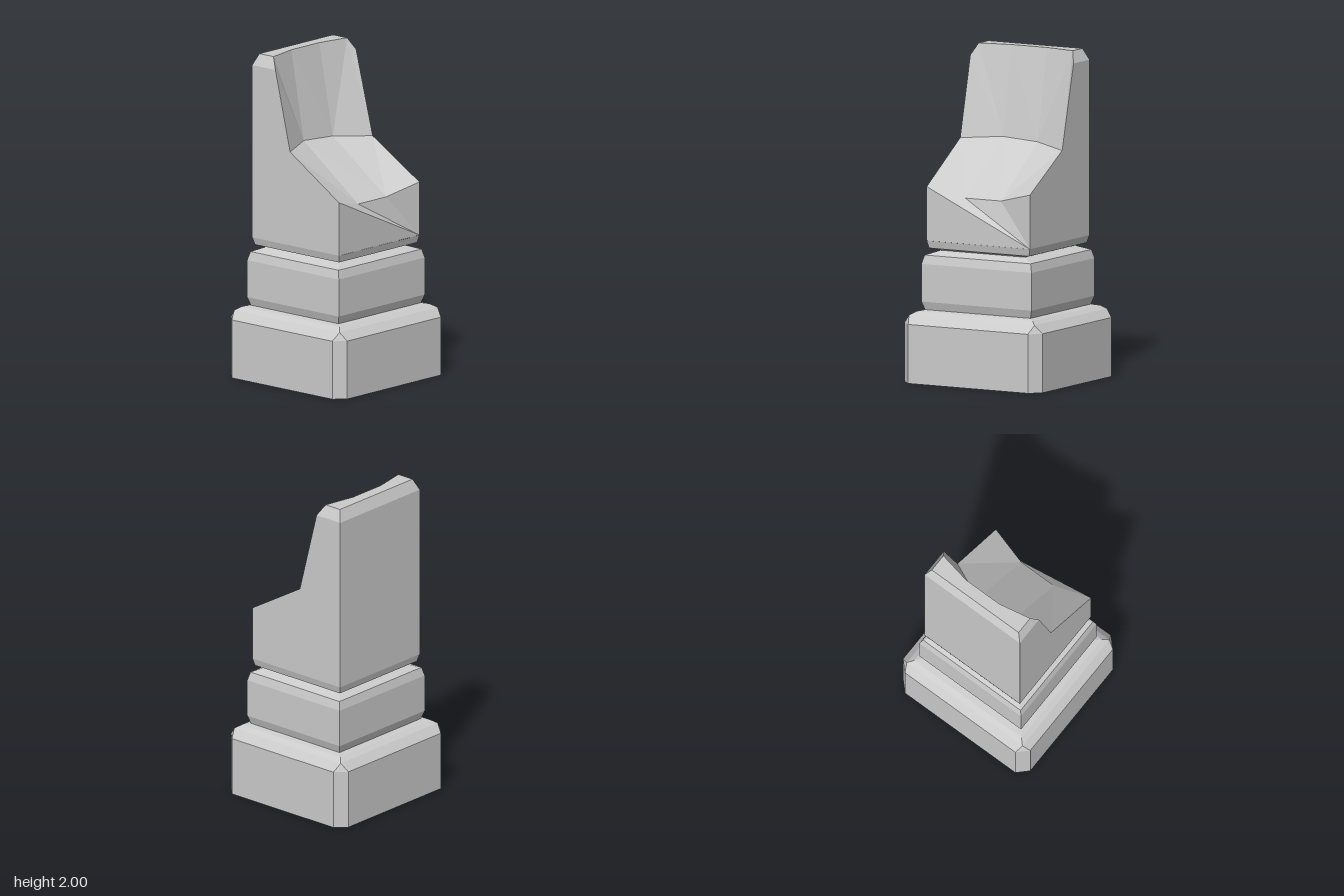
import * as THREE from 'three';

const material = new THREE.MeshStandardMaterial({ color: 0xcccccc, flatShading: true });

// Flat-sided mesh from convex (or fan-safe) polygons, corners counter-clockwise from outside
function polyMesh(name, polygons) {
  const positions = [];
  const a = new THREE.Vector3(), b = new THREE.Vector3(), c = new THREE.Vector3();
  for (const p of polygons) {
    for (let i = 1; i < p.length - 1; i++) {
      a.fromArray(p[0]); b.fromArray(p[i]); c.fromArray(p[i + 1]);
      const area = b.clone().sub(a).cross(c.clone().sub(a)).length();
      if (area > 1e-9) positions.push(...p[0], ...p[i], ...p[i + 1]);
    }
  }
  const geometry = new THREE.BufferGeometry();
  geometry.setAttribute('position', new THREE.Float32BufferAttribute(positions, 3));
  geometry.computeVertexNormals();
  const mesh = new THREE.Mesh(geometry, material);
  mesh.name = name;
  return mesh;
}

// Rectangular cross-section with optional cut corners
function ring([y, x, z, c = 0]) {
  return [
    [-x + c, y, z], [x - c, y, z], [x, y, z - c], [x, y, -z + c],
    [x - c, y, -z], [-x + c, y, -z], [-x, y, -z + c], [-x, y, z - c],
  ];
}

// Side walls between stacked sections [y, halfX, halfZ, cornerCut], with optional end caps
function loft(sections, bottomCap = true, topCap = true) {
  const rings = sections.map(ring);
  const polygons = [];
  for (let k = 0; k < rings.length - 1; k++) {
    const lo = rings[k], hi = rings[k + 1];
    for (let i = 0; i < 8; i++) {
      const j = (i + 1) % 8;
      polygons.push([lo[i], lo[j], hi[j], hi[i]]);
    }
  }
  if (bottomCap) polygons.push([...rings[0]].reverse());
  if (topCap) polygons.push(rings[rings.length - 1]);
  return polygons;
}

// Shaft stump with a bevelled foot and a broken, stepped top
function brokenShaft() {
  const L = -0.355, R = 0.352, Z = 0.362, foot = 0.86, shoulder = 1.93;
  // Bottom corners (0 = front, 1 = back)
  const c0 = [L, foot, Z], c1 = [L, foot, -Z], b0 = [R, foot, Z], b1 = [R, foot, -Z];
  // Shoulder below the top bevel
  const d0 = [L, shoulder, Z], d1 = [L, shoulder, -Z];
  const e0 = [-0.165, shoulder, Z], e1 = [-0.165, shoulder, -Z];
  // Top surface
  const a0 = [-0.325, 2, 0.33], a1 = [-0.325, 2, -0.33];
  const t = [[-0.21, 2, 0.33], [-0.25, 2, 0.125], [-0.25, 2, -0.125], [-0.21, 2, -0.33]];
  // Inner corner of the break and its low outer edge
  const s = [[-0.045, 1.44, Z], [-0.15, 1.452, 0.125], [-0.14, 1.438, -0.125], [-0.03, 1.415, -Z]];
  const f = [[R, 1.19, Z], [0.295, 1.13, 0.125], [0.295, 1.13, -0.125], [R, 1.19, -Z]];

  return [
    ...loft([[0.8, 0.298, 0.298], [0.815, 0.343, 0.35], [foot, 0.3535, Z]], true, false),
    // Outer walls
    [c0, b0, f[0], s[0], e0, d0],
    [c1, d1, e1, s[3], f[3], b1],
    [c1, c0, d0, d1],
    // Chipped right wall
    [b0, b1, f[0]], [f[0], b1, f[1]], [f[1], b1, f[2]], [f[2], b1, f[3]],
    // Top bevel and top
    [d0, e0, t[0], a0], [e1, d1, a1, t[3]], [d1, d0, a0, a1],
    [a0, t[0], t[1]], [a0, t[1], t[2], a1], [a1, t[2], t[3]],
    // Steep break
    [e0, s[0], s[1]], [e0, s[1], t[0]], [t[0], s[1], t[1]], [t[1], s[1], s[2], t[2]],
    [t[2], s[2], t[3]], [t[3], s[2], s[3]], [t[3], s[3], e1],
    // Shallow break
    [s[0], f[0], f[1]], [s[0], f[1], s[1]], [s[1], f[1], f[2], s[2]],
    [s[2], f[2], s[3]], [s[3], f[2], f[3]],
  ];
}

export function createModel() {
  const model = new THREE.Group();
  model.name = 'brokenPillar';

  // Plinth with cut corners and a rounded-off top
  model.add(polyMesh('plinth', loft([
    [0, 0.474, 0.484, 0.064], [0.36, 0.474, 0.484, 0.064],
    [0.41, 0.43, 0.44], [0.432, 0.398, 0.408], [0.44, 0.36, 0.37],
  ])));

  // Bevelled middle block
  model.add(polyMesh('middleBlock', loft([
    [0.44, 0.358, 0.37], [0.49, 0.374, 0.386], [0.72, 0.374, 0.386],
    [0.773, 0.36, 0.372], [0.8, 0.298, 0.298],
  ])));

  model.add(polyMesh('brokenShaft', brokenShaft()));
  return model;
}
